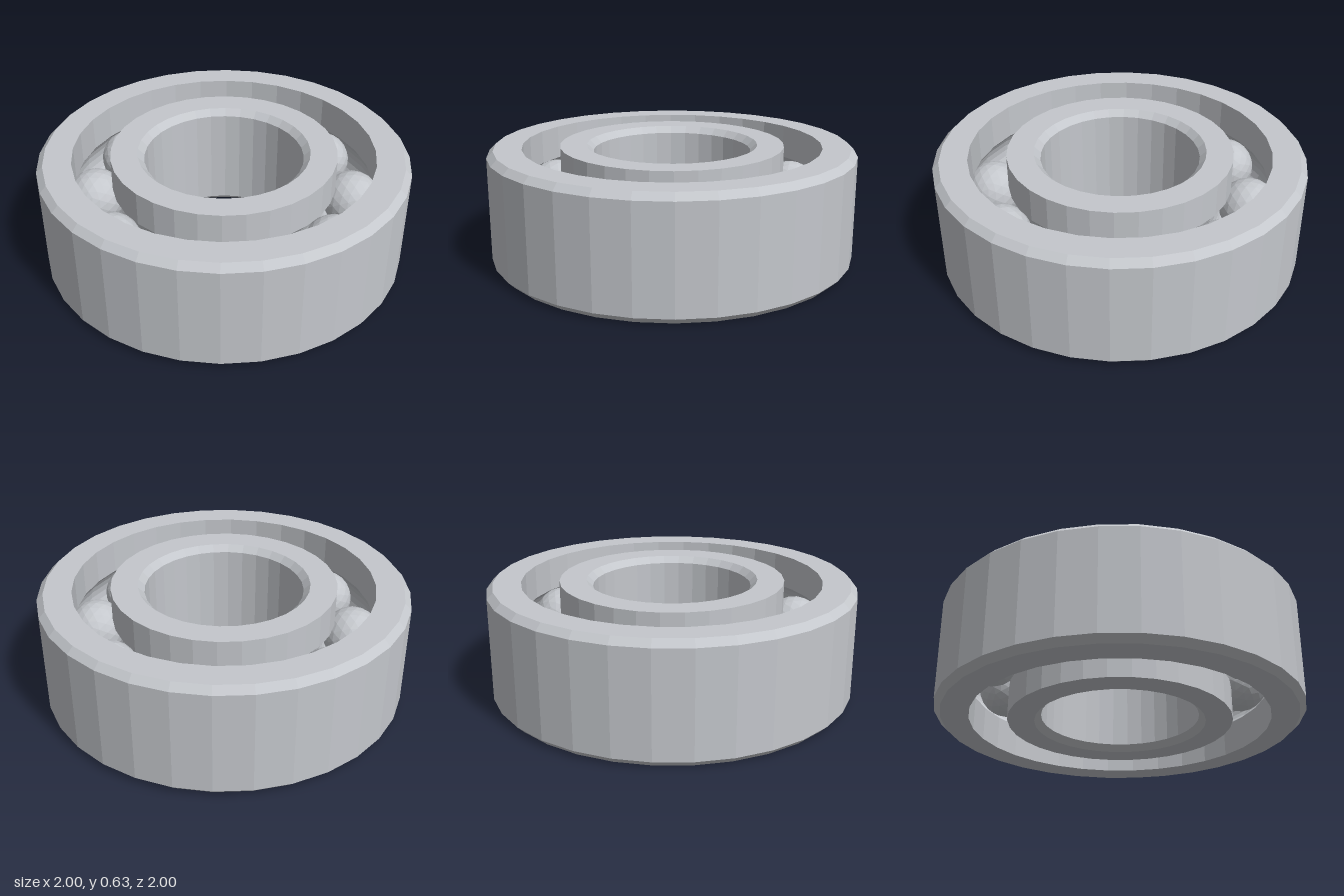
import * as THREE from 'three';

const HEIGHT = 0.63, MID = HEIGHT / 2, BEVEL = 0.035;
const PITCH = 0.71, BALL_R = 0.16, GROOVE_R = 0.165;
const SEGMENTS = 32, BALLS = 10;

// Raceway arc, centred on the ball circle, swept between two angles
function grooveArc(from, to, steps = 8) {
  return Array.from({ length: steps + 1 }, (_, i) => {
    const a = from + (to - from) * i / steps;
    return [PITCH + GROOVE_R * Math.cos(a), MID + GROOVE_R * Math.sin(a)];
  });
}

// Closed counter-clockwise (radius, y) profile turned into a faceted ring
function makeRing(name, profile, material) {
  const points = [...profile, profile[0]].map(([r, y]) => new THREE.Vector2(r, y));
  const mesh = new THREE.Mesh(new THREE.LatheGeometry(points, SEGMENTS), material);
  mesh.name = name;
  return mesh;
}

export function createModel() {
  const group = new THREE.Group();
  group.name = 'ballBearing';
  const steel = new THREE.MeshStandardMaterial({ color: 0xc4c7cc, flatShading: true });
  steel.name = 'steel';

  // Outer ring: bevelled outside, grooved inside
  const outerIn = 0.815;
  const a = Math.acos((outerIn - PITCH) / GROOVE_R);
  group.add(makeRing('outerRing', [
    [outerIn, 0], [1 - BEVEL, 0], [1, BEVEL],
    [1, HEIGHT - BEVEL], [1 - BEVEL, HEIGHT], [outerIn, HEIGHT],
    ...grooveArc(a, -a),
  ], steel));

  // Inner ring: grooved outside, bevelled bore
  const innerOut = 0.61, bore = 0.43;
  const b = Math.acos((innerOut - PITCH) / GROOVE_R);
  group.add(makeRing('innerRing', [
    [bore + BEVEL, 0], [innerOut, 0],
    ...grooveArc(2 * Math.PI - b, b),
    [innerOut, HEIGHT], [bore + BEVEL, HEIGHT],
    [bore, HEIGHT - BEVEL], [bore, BEVEL],
  ], steel));

  // Balls evenly spaced between the rings
  const ballGeometry = new THREE.IcosahedronGeometry(BALL_R, 3);
  const balls = new THREE.Group();
  balls.name = 'balls';
  for (let i = 0; i < BALLS; i++) {
    const angle = i / BALLS * Math.PI * 2;
    const ball = new THREE.Mesh(ballGeometry, steel);
    ball.name = 'ball';
    ball.position.set(PITCH * Math.cos(angle), MID, PITCH * Math.sin(angle));
    ball.rotation.y = -angle;
    balls.add(ball);
  }
  group.add(balls);
  return group;
}
